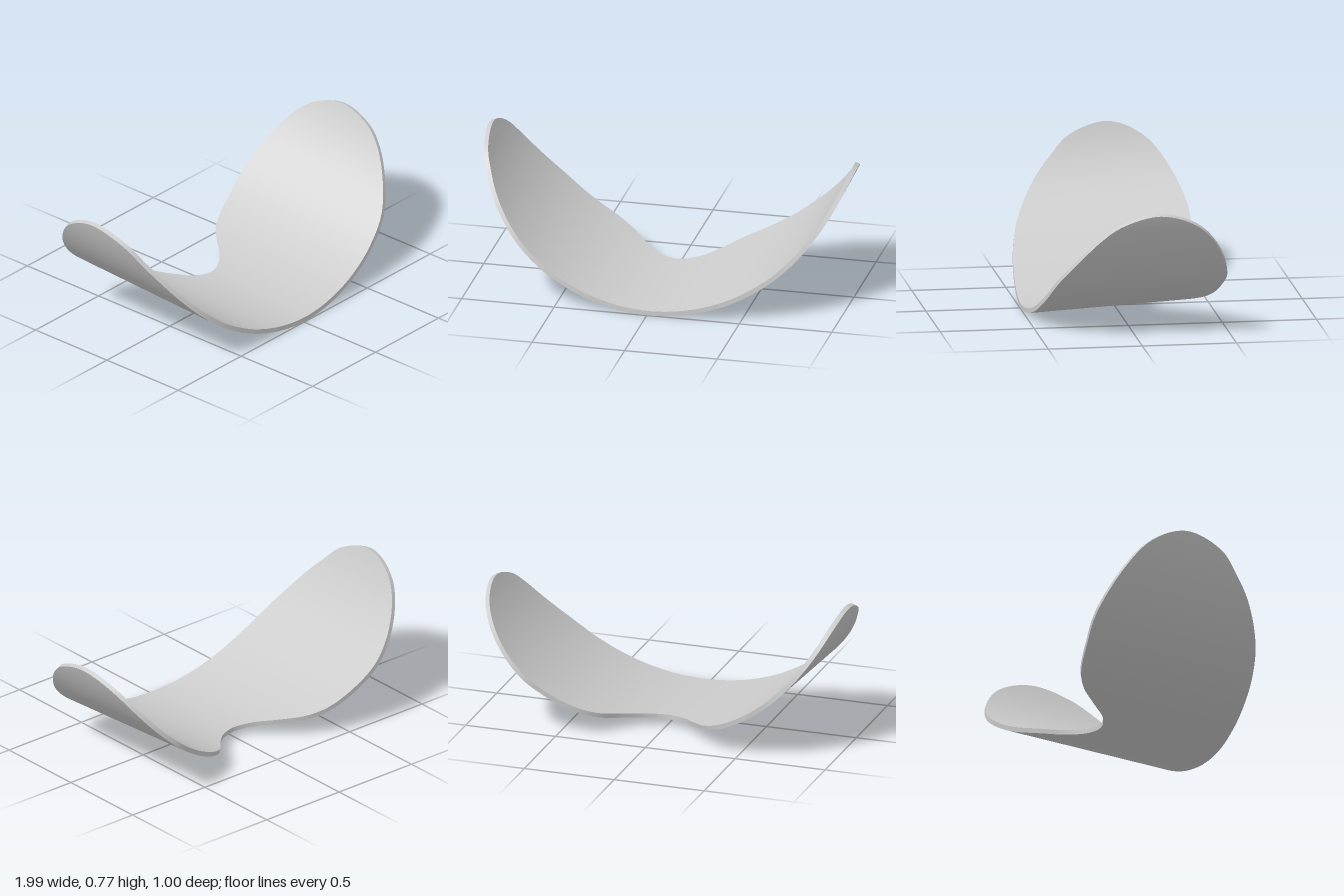
import * as THREE from 'three';
import { mergeGeometries, mergeVertices } from 'three/addons/utils/BufferGeometryUtils.js';

const RADIUS = 1.061, THICKNESS = 0.025, COLUMNS = 136, ROWS = 12;

// Outline of the unrolled plate: [angle around the bend in degrees, z]
const leftTip = [-71.8, -0.11], rightTip = [67.7, -0.1];
const frontEdge = [
  [-68.7, 0.1], [-63.3, 0.2], [-56.3, 0.3], [-45.2, 0.4], [-35.1, 0.447], [-22.7, 0.475],
  [-11, 0.49], [-5.5, 0.495], [-0.5, 0.497], [5, 0.495], [11, 0.49], [22, 0.475],
  [33.2, 0.447], [43.6, 0.4], [53.6, 0.3], [60.8, 0.2], [65.1, 0.1],
];
const backEdge = [
  [-66.7, -0.3], [-56.5, -0.425], [-42.8, -0.5], [-33, -0.49], [-22.7, -0.45], [-17, -0.39],
  [-11.4, -0.285], [-6, -0.19], [-0.5, -0.157], [5, -0.19], [10.4, -0.275], [16, -0.385],
  [21.7, -0.44], [33, -0.485], [40.3, -0.497], [54, -0.425], [63.1, -0.3],
];
const outline = new THREE.CatmullRomCurve3(
  [leftTip, ...frontEdge, rightTip, ...backEdge.reverse()]
    .map(([deg, z]) => new THREE.Vector3(THREE.MathUtils.degToRad(deg), 0, z)), true);

// Roll a flat (angle, z) point onto the slightly tilted cylinder
function bend(p, radius) {
  return [
    0.013 + radius * Math.sin(p.x),
    RADIUS - radius * Math.cos(p.x) + 0.028 - 0.056 * p.z,
    p.z,
  ];
}

// Smooth surface over a grid of points at(i, j)
function gridSurface(nu, nv, at) {
  const positions = [], index = [];
  for (let i = 0; i <= nu; i++) {
    for (let j = 0; j <= nv; j++) {
      positions.push(...at(i, j));
      if (i === nu || j === nv) continue;
      const a = i * (nv + 1) + j, b = a + nv + 1;
      index.push(a, b, b + 1, a, b + 1, a + 1);
    }
  }
  let geometry = new THREE.BufferGeometry();
  geometry.setAttribute('position', new THREE.Float32BufferAttribute(positions, 3));
  geometry.setIndex(index);
  geometry = mergeVertices(geometry, 1e-5);
  geometry.computeVertexNormals();
  return geometry;
}

// Point inside the outline: u from left tip to right tip, v from front edge to back edge
function inside(u, v) {
  const front = outline.getPoint(u / 2);
  const back = outline.getPoint((1 - u / 2) % 1);
  return front.lerp(back, v);
}

export function createModel() {
  const inner = RADIUS - THICKNESS;
  const insideFace = gridSurface(COLUMNS, ROWS, (i, j) => bend(inside(i / COLUMNS, j / ROWS), inner));
  const outsideFace = gridSurface(COLUMNS, ROWS, (i, j) => bend(inside(i / COLUMNS, 1 - j / ROWS), RADIUS));
  const rim = gridSurface(COLUMNS * 2, 1, (i, j) =>
    bend(outline.getPoint((i / (COLUMNS * 2)) % 1), j ? inner : RADIUS));

  const plate = new THREE.Mesh(
    mergeGeometries([insideFace, outsideFace, rim]),
    new THREE.MeshStandardMaterial({ color: 0xcccccc }));
  plate.name = 'curvedLens';

  const group = new THREE.Group();
  group.name = 'visor';
  group.add(plate);
  return group;
}
